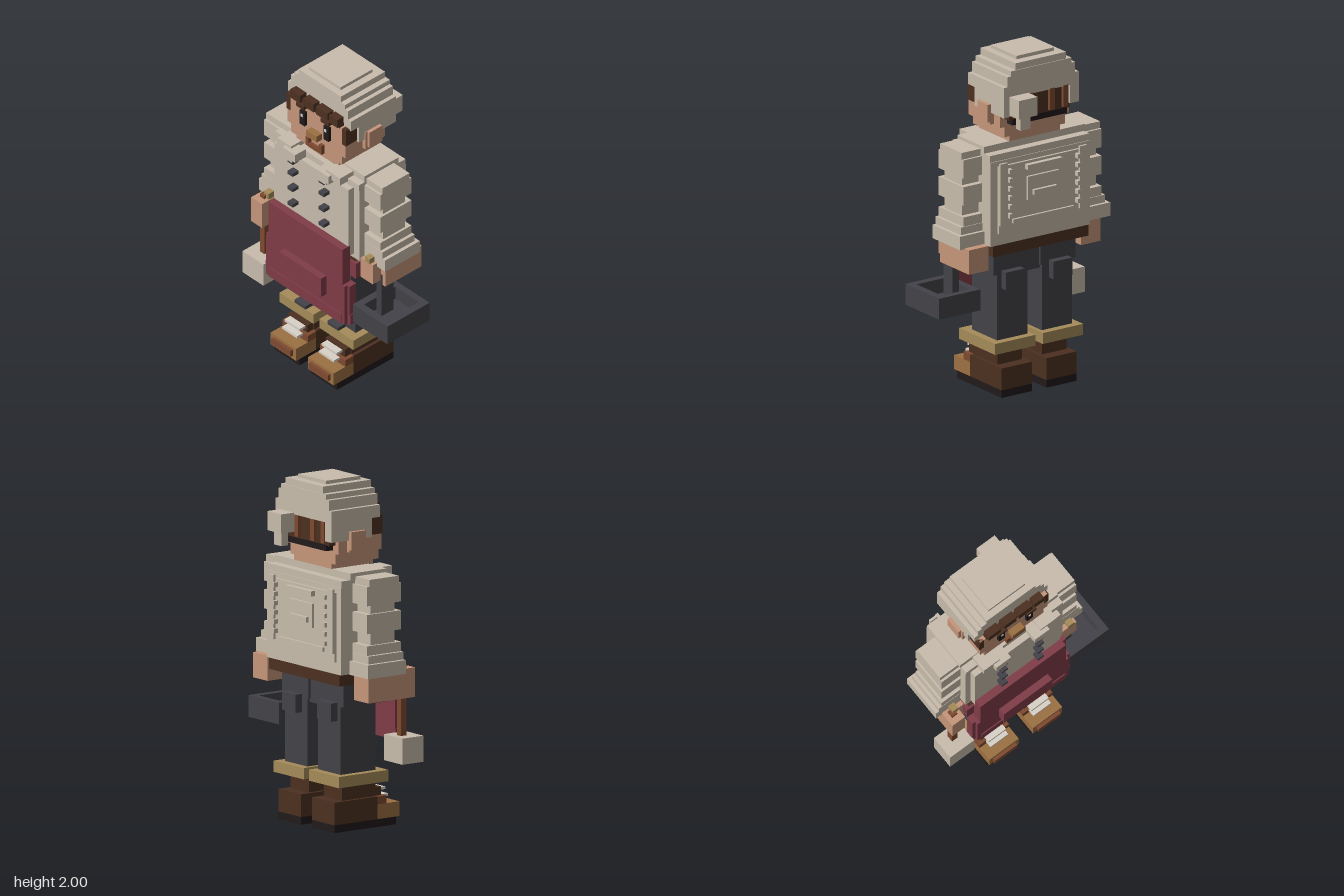
import * as THREE from 'three';

const mat = (name, color) => {
  const m = new THREE.MeshStandardMaterial({ color });
  m.name = name;
  return m;
};

export function createModel() {
  const cream = mat('cream cloth', 0xc8bcac), skin = mat('skin', 0xc6967a);
  const brown = mat('dark brown', 0x4c3020), sienna = mat('sienna', 0x7e4a30);
  const tan = mat('tan leather', 0x9c7042), gold = mat('gold cloth', 0xa58c5a);
  const maroon = mat('maroon apron', 0x803c48), charcoal = mat('charcoal', 0x434248);
  const black = mat('black', 0x211a1b), white = mat('lace white', 0xd8d2c8);

  const root = new THREE.Group();
  root.name = 'cook';
  let part = root;
  const group = (name) => {
    part = new THREE.Group();
    part.name = name;
    root.add(part);
  };
  // Box given by its limits on each axis
  const box = (name, material, x0, x1, y0, y1, z0, z1) => {
    const mesh = new THREE.Mesh(new THREE.BoxGeometry(x1 - x0, y1 - y0, z1 - z0), material);
    mesh.position.set((x0 + x1) / 2, (y0 + y1) / 2, (z0 + z1) / 2);
    mesh.name = name;
    part.add(mesh);
  };
  // The body is symmetric about x = AXIS; pair() adds a box and its mirror
  const AXIS = -0.06;
  const pair = (name, material, x0, x1, ...rest) => {
    box(name, material, x0, x1, ...rest);
    box(name, material, 2 * AXIS - x1, 2 * AXIS - x0, ...rest);
  };

  // Boots
  group('boots');
  pair('sole', black, -0.01, 0.2, 0, 0.045, -0.185, 0.25);
  pair('bootHeel', brown, -0.01, 0.2, 0.045, 0.175, -0.185, 0.12);
  pair('bootShaft', brown, 0.01, 0.18, 0.175, 0.27, -0.115, 0.12);
  pair('bootToe', tan, -0.01, 0.2, 0.045, 0.13, 0.12, 0.275);
  pair('toeCap', sienna, 0.015, 0.175, 0.07, 0.112, 0.275, 0.295);
  pair('bootInstep', sienna, -0.01, 0.2, 0.13, 0.175, 0.12, 0.185);
  pair('bootTongue', brown, 0.015, 0.175, 0.175, 0.225, 0.12, 0.165);
  pair('lace', white, 0.03, 0.155, 0.158, 0.174, 0.16, 0.23);
  pair('lace', white, 0.03, 0.155, 0.2, 0.216, 0.15, 0.21);

  // Trousers
  group('trousers');
  pair('leg', charcoal, -0.01, 0.2, 0.33, 0.72, -0.14, 0.105);
  pair('thigh', charcoal, -0.02, 0.225, 0.72, 0.87, -0.14, 0.165);
  box('crotch', charcoal, -0.12, 0, 0.7, 0.87, -0.125, 0.15);
  pair('cuff', gold, -0.035, 0.245, 0.265, 0.33, -0.185, 0.165);
  pair('kneePatch', charcoal, 0.03, 0.12, 0.33, 0.352, 0.1, 0.165);
  pair('kneeFold', charcoal, 0.0, 0.19, 0.46, 0.485, 0.1, 0.122);
  pair('backPocket', charcoal, 0.04, 0.17, 0.635, 0.74, -0.185, -0.14);
  box('belt', brown, -0.39, 0.27, 0.855, 0.92, -0.2, 0.175);

  // Jacket body
  group('jacket');
  box('jacketBody', cream, -0.4, 0.29, 0.92, 1.42, -0.2, 0.16);
  box('jacketFront', cream, -0.365, 0.245, 0.95, 1.42, 0.16, 0.203);
  box('jacketUpper', cream, -0.4, 0.29, 1.42, 1.46, -0.195, 0.165);
  pair('shoulder', cream, 0.1, 0.29, 1.46, 1.5, -0.14, 0.12);
  box('nape', cream, -0.22, 0.1, 1.46, 1.5, -0.14, -0.1);
  box('backPanel', cream, -0.36, 0.24, 0.99, 1.39, -0.215, -0.2);
  pair('backSeam', cream, 0.19, 0.24, 1.04, 1.41, -0.23, -0.215);
  box('backYoke', cream, -0.18, 0.06, 1.345, 1.375, -0.245, -0.215);
  box('backHem', cream, -0.27, 0.15, 1.04, 1.065, -0.23, -0.215);
  box('backPatch', cream, -0.17, 0.05, 1.16, 1.3, -0.23, -0.215);
  box('backPatchBar', cream, -0.14, 0.02, 1.19, 1.22, -0.25, -0.23);
  for (let i = 0; i < 6; i++) {
    const y = 1.08 + i * 0.053;
    pair('backStitch', cream, 0.165, 0.185, y, y + 0.026, -0.245, -0.215);
  }
  pair('collar', cream, 0.085, 0.2, 1.44, 1.49, 0.1, 0.225);
  pair('collarTip', cream, 0.025, 0.13, 1.42, 1.475, 0.165, 0.25);
  pair('collarPoint', cream, 0.05, 0.11, 1.405, 1.42, 0.2, 0.25);
  for (const y of [1.1, 1.21, 1.318, 1.403])
    pair('button', charcoal, 0.047, 0.09, y - 0.011, y + 0.011, 0.2, 0.248);

  // Apron
  group('apron');
  box('apronBib', maroon, -0.365, 0.245, 0.77, 1.02, 0.19, 0.25);
  box('apronSkirt', maroon, -0.385, 0.265, 0.5, 0.77, 0.205, 0.25);
  pair('apronEdge', maroon, 0.225, 0.285, 0.56, 0.77, 0.18, 0.23);
  pair('apronHemEdge', maroon, 0.225, 0.29, 0.5, 0.57, 0.18, 0.23);
  box('apronHem', maroon, -0.36, 0.24, 0.5, 0.565, 0.25, 0.256);
  box('apronPocket', maroon, -0.23, 0.115, 0.635, 0.765, 0.25, 0.293);
  pair('apronTie', maroon, 0.24, 0.292, 0.81, 0.915, 0.12, 0.19);

  // Sleeves made of stacked folds
  group('sleeves');
  const folds = [[1.0, 1.1, 0.12], [1.1, 1.17, 0.085], [1.17, 1.28, 0.12],
    [1.28, 1.33, 0.085], [1.33, 1.44, 0.12], [1.44, 1.48, 0.105]];
  for (const [y0, y1, z] of folds)
    pair('sleeveFold', cream, 0.285, z > 0.1 ? 0.42 : 0.405, y0, y1, -z, z);
  pair('sleeveFlare', cream, 0.29, 0.44, 1.0, 1.045, -0.125, 0.122);
  pair('sleeveCuff', cream, 0.29, 0.462, 0.92, 1.0, -0.145, 0.122);

  // Hands
  group('hands');
  box('leftHand', skin, 0.295, 0.43, 0.78, 0.925, -0.19, 0.09);
  box('leftFingers', skin, 0.295, 0.395, 0.81, 0.945, 0.09, 0.155);
  box('leftThumb', gold, 0.335, 0.375, 0.945, 0.98, 0.115, 0.16);
  box('rightHand', skin, -0.54, -0.405, 0.77, 0.925, -0.11, 0.15);
  box('rightFingers', skin, -0.54, -0.45, 0.77, 0.94, 0.122, 0.22);
  box('rightThumb', gold, -0.495, -0.455, 0.94, 0.98, 0.122, 0.165);

  // Mallet in the right hand
  group('mallet');
  box('malletHandle', sienna, -0.512, -0.475, 0.55, 0.96, 0.14, 0.18);
  box('malletHead', cream, -0.58, -0.407, 0.4, 0.55, 0.1, 0.25);

  // Open pan in the left hand
  group('pan');
  box('panFloor', charcoal, 0.295, 0.58, 0.52, 0.56, -0.11, 0.215);
  box('panSide', charcoal, 0.295, 0.34, 0.56, 0.645, -0.11, 0.215);
  box('panSide', charcoal, 0.535, 0.58, 0.56, 0.645, -0.11, 0.215);
  box('panEnd', charcoal, 0.34, 0.535, 0.56, 0.645, -0.11, -0.07);
  box('panEnd', charcoal, 0.34, 0.535, 0.56, 0.645, 0.17, 0.215);
  box('panHandle', charcoal, 0.362, 0.405, 0.56, 0.85, 0.005, 0.095);

  // Head and face
  group('head');
  box('neck', skin, -0.17, 0.05, 1.42, 1.52, -0.1, 0.13);
  box('chin', skin, -0.235, 0.115, 1.5, 1.54, -0.14, 0.155);
  box('jaw', skin, -0.27, 0.15, 1.53, 1.6, -0.14, 0.165);
  box('face', skin, -0.3, 0.18, 1.59, 1.79, -0.14, 0.165);
  pair('ear', skin, 0.17, 0.205, 1.6, 1.72, -0.08, 0.035);
  pair('earRim', skin, 0.2, 0.222, 1.615, 1.72, -0.08, 0.02);
  pair('eye', black, 0.018, 0.06, 1.65, 1.745, 0.165, 0.185);
  for (const x of [-0.165, 0.03]) box('eyeGlint', white, x, x + 0.014, 1.71, 1.728, 0.185, 0.189);
  box('nose', tan, -0.1, -0.015, 1.615, 1.657, 0.165, 0.207);
  box('mouth', sienna, -0.127, 0.007, 1.53, 1.553, 0.15, 0.187);
  pair('mouthCorner', sienna, -0.018, 0.007, 1.553, 1.59, 0.165, 0.187);

  // Hair
  group('hair');
  for (const [x0, x1] of [[-0.255, -0.17], [-0.145, -0.06], [-0.04, 0.055], [0.07, 0.138]])
    box('fringe', brown, x0, x1, 1.795, 1.85, 0.13, 0.188);
  box('fringeBand', brown, -0.26, 0.14, 1.785, 1.81, 0.14, 0.172);
  pair('fringeTip', brown, 0.01, 0.075, 1.775, 1.8, 0.165, 0.198);
  pair('sideburn', brown, 0.155, 0.186, 1.68, 1.79, 0.07, 0.168);
  box('backHair', brown, -0.27, 0.15, 1.64, 1.79, -0.185, -0.135);
  box('napeHair', black, -0.25, 0.13, 1.61, 1.645, -0.19, -0.135);
  for (const x of [-0.25, -0.155, -0.01, 0.095])
    box('hairStrand', sienna, x, x + 0.035, 1.655, 1.785, -0.205, -0.18);

  // Stepped cap with side flaps and a tied knot behind
  group('cap');
  const layers = [[0.26, 1.78, 1.85, -0.205, 0.14], [0.235, 1.85, 1.91, -0.205, 0.14],
    [0.21, 1.91, 1.94, -0.205, 0.14], [0.175, 1.94, 1.98, -0.2, 0.14], [0.13, 1.98, 2.0, -0.145, 0.1]];
  for (const [w, y0, y1, z0, z1] of layers)
    box('capLayer', cream, AXIS - w, AXIS + w, y0, y1, z0, z1);
  pair('capFlap', cream, 0.175, 0.2, 1.67, 1.78, -0.205, 0.08);
  pair('capBackFlap', cream, 0.14, 0.2, 1.67, 1.78, -0.205, -0.14);
  box('capKnot', cream, 0.03, 0.16, 1.68, 1.79, -0.295, -0.19);
  box('capTail', cream, 0.06, 0.13, 1.6, 1.68, -0.27, -0.225);

  return root;
}
